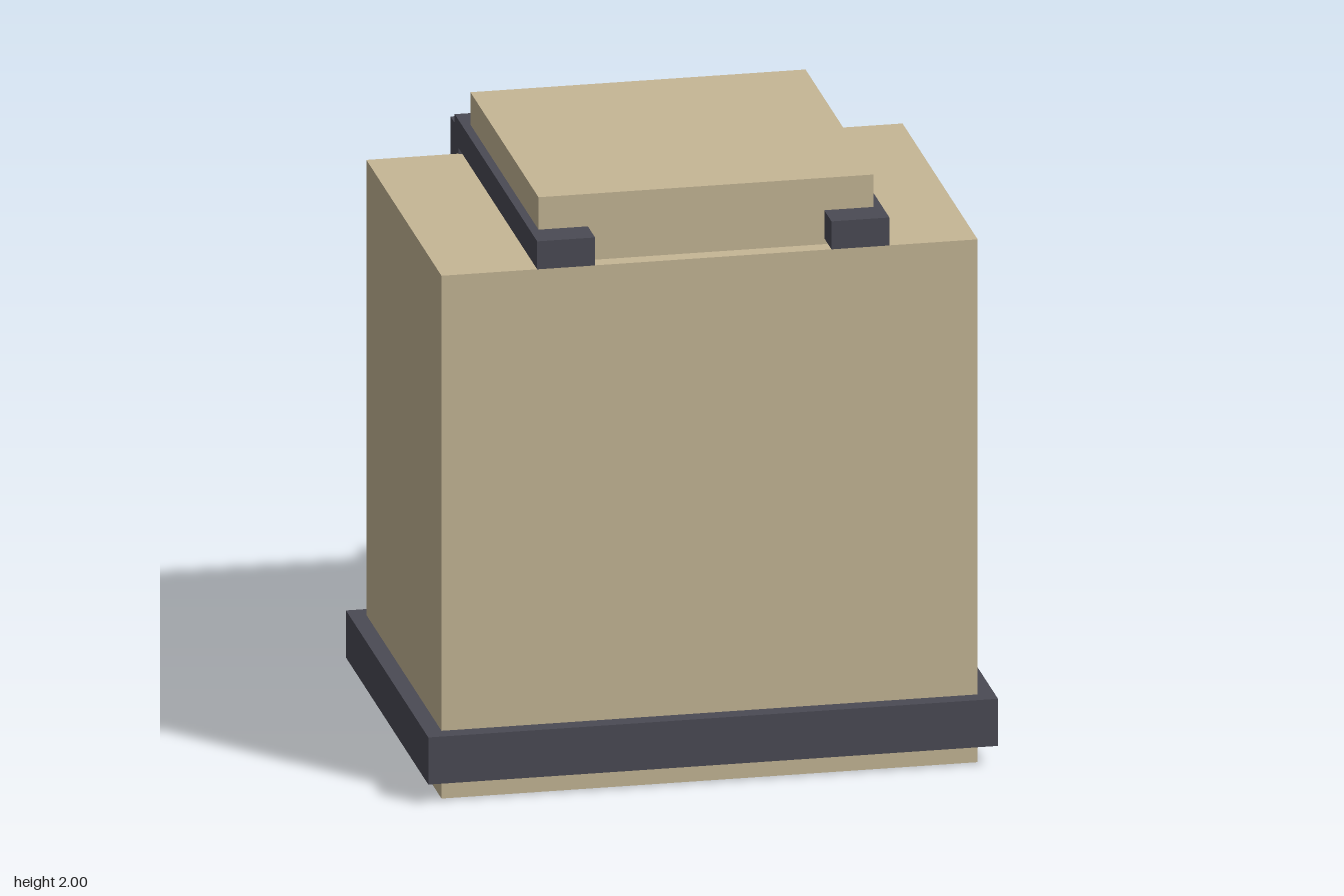
import * as THREE from 'three';

const material = (name, color) => {
  const m = new THREE.MeshStandardMaterial({ color });
  m.name = name;
  return m;
};

export function createModel() {
  const tan = material('tan', 0xc5b695);
  const charcoal = material('charcoal', 0x4a4a54);
  const red = material('red', 0xcd5a62);
  const model = new THREE.Group();
  model.name = 'strappedCrate';

  // Box given by its [min, max] along each axis
  const box = (name, mat, [x0, x1], [y0, y1], [z0, z1]) => {
    const mesh = new THREE.Mesh(new THREE.BoxGeometry(x1 - x0, y1 - y0, z1 - z0), mat);
    mesh.position.set((x0 + x1) / 2, (y0 + y1) / 2, (z0 + z1) / 2);
    mesh.name = name;
    model.add(mesh);
  };

  // Main body, lid and the band around the base
  box('body', tan, [-0.88, 0.88], [0, 1.775], [-0.515, 0.66]);
  box('lid', tan, [-0.55, 0.55], [1.775, 2], [-0.46, 0.605]);
  box('baseBand', charcoal, [-0.935, 0.935], [0.07, 0.23], [-0.572, 0.716]);

  // Rails over the top and posts down the back, mirrored
  for (const [side, s] of [['left', 1], ['right', -1]]) {
    const x = [s * 0.483 - 0.095, s * 0.483 + 0.095];
    box(side + 'TopRail', charcoal, x, [1.795, 1.89], [-0.572, 0.718]);
    box(side + 'BackPost', charcoal, x, [0.31, 1.86], [-0.638, -0.51]);
  }

  // Central pipe with its foot block
  box('backPipe', tan, [-0.05, 0.047], [0.2, 1.71], [-0.622, -0.51]);
  box('pipeFoot', tan, [-0.113, 0.112], [0.035, 0.26], [-0.718, -0.558]);

  // Fittings on the posts
  box('rightPostHousing', tan, [-0.68, -0.293], [0.825, 1.21], [-0.655, -0.51]);
  box('leftPostButton', tan, [0.45, 0.576], [1.28, 1.403], [-0.67, -0.6]);
  box('redSwitch', red, [0.56, 0.627], [1.23, 1.457], [-0.622, -0.525]);

  return model;
}
